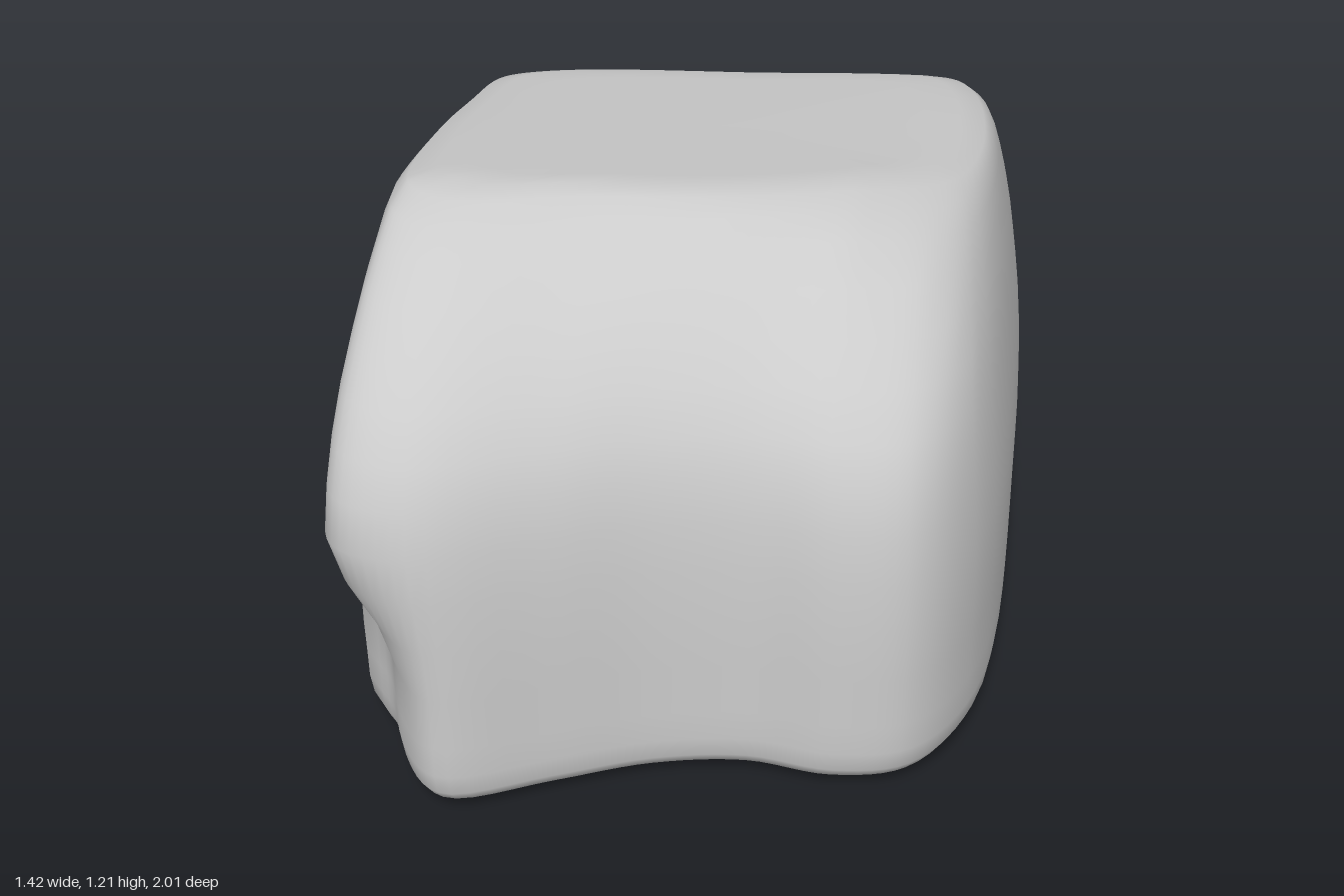
import * as THREE from 'three';

// Matching control points [x, z] of the widest outline near the ground and of the top rim
const BASE = [[-0.695, -0.6], [-0.645, -0.71], [-0.55, -0.8], [-0.4, -0.86], [0, -0.92], [0.6, -0.995], [0.66, -0.89],
  [0.71, -0.1], [0.67, 0.52], [0.55, 0.74], [0.39, 0.79], [0.2, 0.77], [0, 0.81], [-0.2, 0.9], [-0.45, 1.015],
  [-0.62, 0.98], [-0.67, 0.8], [-0.71, 0.1], [-0.685, -0.28]];
const RIM = [[-0.6, -0.42], [-0.58, -0.48], [-0.53, -0.53], [-0.4, -0.59], [0, -0.66], [0.49, -0.73], [0.56, -0.63],
  [0.61, -0.25], [0.57, 0.02], [0.5, 0.13], [0.37, 0.23], [0.2, 0.32], [0, 0.39], [-0.2, 0.43], [-0.47, 0.5],
  [-0.57, 0.45], [-0.6, 0.36], [-0.62, 0], [-0.61, -0.25]];

// Rings: [height fraction, side taper, front taper, back taper, inward scale]; taper 0 = base, 1 = rim
const RINGS = [
  [0, 0, 0, 0, 0.001], [0.004, 0, 0, 0, 0.4], [0.012, 0, 0, 0, 0.8], [0.02, 0, 0, 0, 0.93],
  [0.03, 0, 0, 0, 0.975], [0.05, 0, 0, 0, 0.992], [0.09, 0, 0, 0, 1], [0.15, 0, 0, 0.01, 1],
  [0.25, 0, 0, 0.1, 1], [0.35, 0, 0, 0.19, 1], [0.45, 0.04, 0.015, 0.28, 1],
  [0.54, 0.12, 0.035, 0.37, 1], [0.62, 0.22, 0.08, 0.46, 1], [0.69, 0.32, 0.15, 0.54, 1],
  [0.76, 0.43, 0.27, 0.61, 1], [0.82, 0.55, 0.41, 0.68, 1], [0.88, 0.69, 0.57, 0.77, 1],
  [0.93, 0.83, 0.75, 0.86, 1], [0.965, 0.94, 0.88, 0.94, 0.995], [0.987, 1, 1, 1, 0.97],
  [1, 1, 1, 1, 0.88], [1, 1, 1, 1, 0.75], [1, 1, 1, 1, 0.5], [1, 1, 1, 1, 0.25], [1, 1, 1, 1, 0.001],
];

// The top slopes down to the back, and slightly to the right near the front
function topHeight(x, z) {
  const back = 0.17 * Math.max(0, 0.4 - z);
  const right = 0.015 * (x + 0.5) + 0.1 * Math.max(0, x - 0.35);
  return 1.21 - back - right * THREE.MathUtils.smoothstep(z, -0.7, 0.2);
}

// Hollow that cuts off the front corner from the ground up to mid height
function dent(p) {
  const d = ((p.x + 0.66) / 0.18) ** 2 + ((p.z - 0.95) / 0.22) ** 2;
  const k = Math.exp(-d) * (1 - THREE.MathUtils.smoothstep(p.y, 0.3, 0.68));
  p.x += 0.1 * k;
  p.z -= 0.11 * k;
}

// Worn lower edge along the middle of the -x side
function undercut(p) {
  const low = 1 - THREE.MathUtils.smoothstep(p.y, 0.02, 0.16);
  const side = THREE.MathUtils.smoothstep(-p.x, 0.4, 0.7);
  p.x += 0.07 * low * side * Math.exp(-(((p.z + 0.05) / 0.45) ** 2));
}

function createBoulder() {
  const n = 114, positions = [], index = [];
  const lerp = THREE.MathUtils.lerp;

  RINGS.forEach(([t, side, front, back, scale], r) => {
    const outline = BASE.map(([x, z], i) => new THREE.Vector3(
      lerp(x, RIM[i][0], side), 0, lerp(z, RIM[i][1], z > 0 ? front : back)));
    const curve = new THREE.CatmullRomCurve3(outline, true, 'centripetal');
    const cz = lerp(0, -0.12, t);
    for (let i = 0; i < n; i++) {
      const p = curve.getPoint(i / n);
      p.x *= scale;
      p.z = cz + (p.z - cz) * scale;
      p.y = t * topHeight(p.x, p.z);
      dent(p);
      undercut(p);
      positions.push(p.x, p.y, p.z);
      if (r === 0) continue;
      const j = (i + 1) % n, a = (r - 1) * n, b = r * n;
      index.push(a + i, b + i, a + j, b + i, b + j, a + j);
    }
  });

  const geometry = new THREE.BufferGeometry();
  geometry.setAttribute('position', new THREE.Float32BufferAttribute(positions, 3));
  geometry.setIndex(index);
  geometry.computeVertexNormals();
  return geometry;
}

export function createModel() {
  const group = new THREE.Group();
  group.name = 'boulder';
  const rock = new THREE.Mesh(createBoulder(), new THREE.MeshStandardMaterial({ color: 0xcccccc }));
  rock.name = 'rock';
  group.add(rock);
  return group;
}
